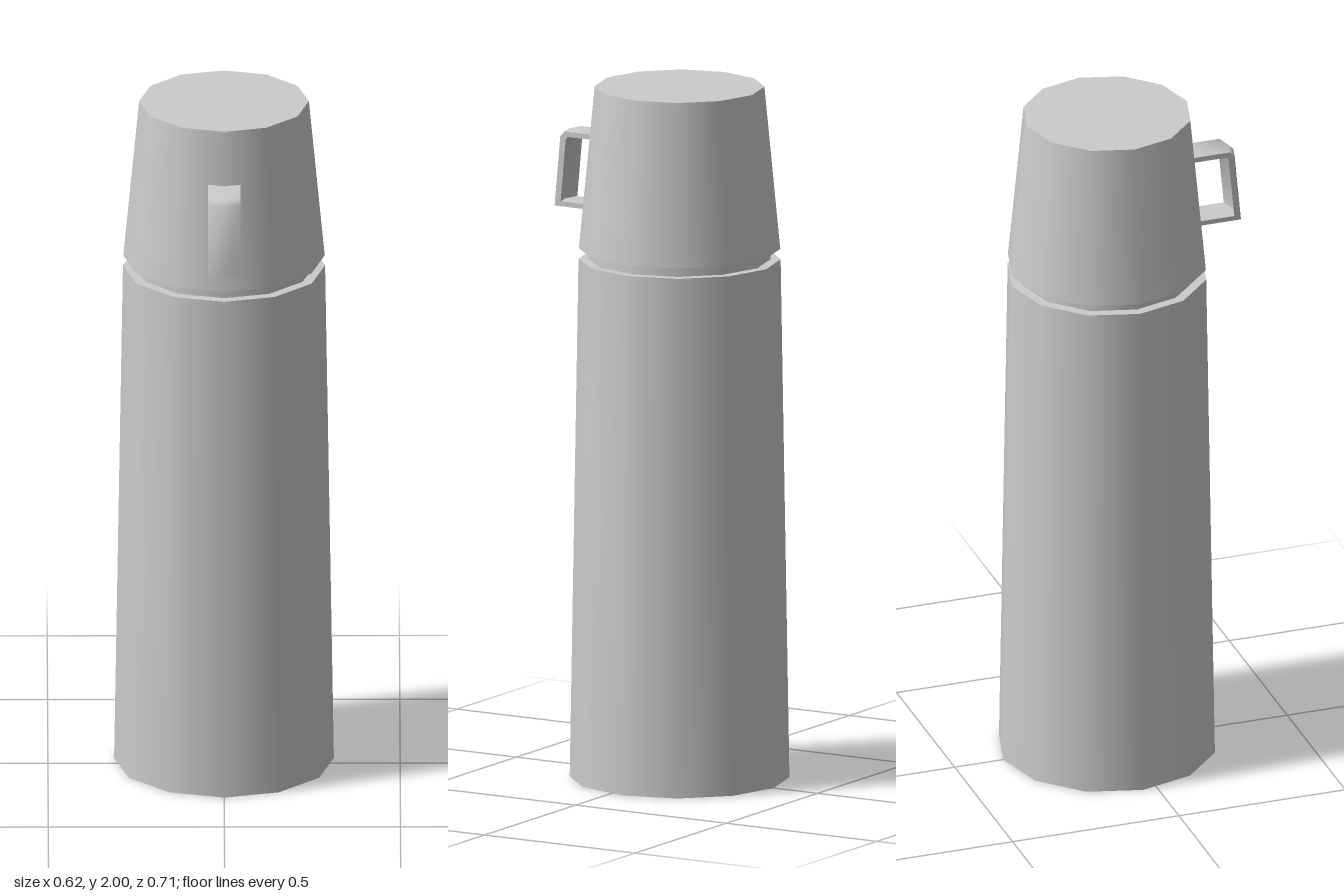
import * as THREE from 'three';
import { toCreasedNormals } from 'three/addons/utils/BufferGeometryUtils.js';

const AXIS_Z = -0.042; // bottle axis sits behind centre because of the handle
const SIDES = 12;

export function createModel() {
  const group = new THREE.Group();
  const material = new THREE.MeshStandardMaterial({ color: 0xcccccc });

  function add(name, geometry) {
    const mesh = new THREE.Mesh(geometry, material);
    mesh.name = name;
    group.add(mesh);
  }

  // Tapered, capped section standing between two heights
  function section(name, rBottom, rTop, y0, y1) {
    const geometry = new THREE.CylinderGeometry(rTop, rBottom, y1 - y0, SIDES);
    geometry.translate(0, (y0 + y1) / 2, AXIS_Z);
    add(name, geometry);
  }

  section('body', 0.312, 0.287, 0, 1.5);
  section('neck', 0.258, 0.258, 1.49, 1.54);
  section('cupLid', 0.286, 0.241, 1.53, 2);

  // Handle: side profile (z, y) of a bent strap, extruded across x
  const profile = [
    [0.2, 1.84], [0.323, 1.84], [0.337, 1.825], [0.356, 1.622], [0.22, 1.622],
    [0.22, 1.636], [0.336, 1.636], [0.319, 1.817], [0.312, 1.825], [0.2, 1.825],
  ];
  const shape = new THREE.Shape(profile.map(([z, y]) => new THREE.Vector2(z, y)));
  const width = 0.092;
  const strap = new THREE.ExtrudeGeometry(shape, { depth: width, steps: 2, bevelEnabled: false });
  strap.rotateY(-Math.PI / 2).translate(width / 2, 0, 0);

  // Fold the strap along its centre line to follow the facets of the cup
  const pos = strap.attributes.position;
  for (let i = 0; i < pos.count; i++) {
    pos.setZ(i, pos.getZ(i) - Math.abs(pos.getX(i)) * 0.26 + 0.001);
  }
  add('handle', toCreasedNormals(strap, 0.95));

  return group;
}
